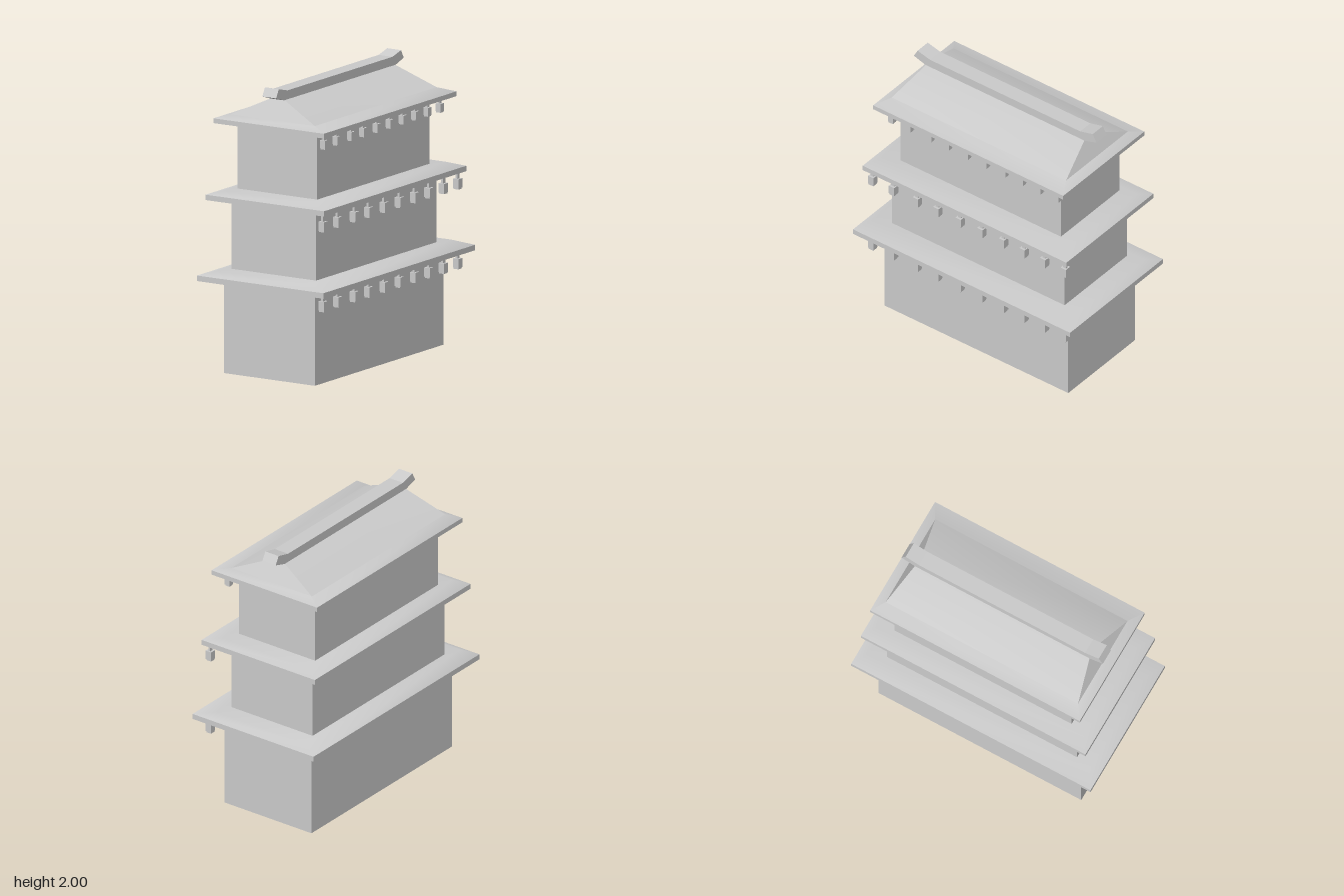
import * as THREE from 'three';
import { toCreasedNormals } from 'three/addons/utils/BufferGeometryUtils.js';

const material = new THREE.MeshStandardMaterial({ color: 0xcccccc });

function addMesh(parent, name, geometry) {
  const mesh = new THREE.Mesh(geometry, material);
  mesh.name = name;
  parent.add(mesh);
  return mesh;
}

// Box given by its limits on each axis
function boxBetween(x0, x1, y0, y1, z0, z1) {
  return new THREE.BoxGeometry(x1 - x0, y1 - y0, z1 - z0)
    .translate((x0 + x1) / 2, (y0 + y1) / 2, (z0 + z1) / 2);
}

// Closed solid through stacked rectangles [x0, x1, y, half depth], listed bottom to top
function rectangleLoft(rings) {
  const positions = [], index = [];
  for (const [x0, x1, y, z] of rings) {
    positions.push(x0, y, z, x1, y, z, x1, y, -z, x0, y, -z);
  }
  for (let r = 0; r < rings.length - 1; r++) {
    for (let i = 0; i < 4; i++) {
      const a = r * 4 + i, b = r * 4 + (i + 1) % 4;
      index.push(a, b, b + 4, a, b + 4, a + 4);
    }
  }
  const t = (rings.length - 1) * 4;
  index.push(0, 2, 1, 0, 3, 2, t, t + 1, t + 2, t, t + 2, t + 3);
  const geometry = new THREE.BufferGeometry();
  geometry.setAttribute('position', new THREE.Float32BufferAttribute(positions, 3));
  geometry.setIndex(index);
  return toCreasedNormals(geometry, 0.52);
}

// Hanging lantern with its top at the local origin
function createLantern() {
  const lantern = new THREE.Group();
  lantern.name = 'lantern';
  addMesh(lantern, 'lanternRod', boxBetween(-0.008, 0.008, -0.046, 0.002, -0.013, 0.013));
  addMesh(lantern, 'lanternBody', boxBetween(-0.023, 0.023, -0.108, -0.045, -0.023, 0.023));
  addMesh(lantern, 'lanternFoot', boxBetween(-0.02, 0.02, -0.117, -0.108, -0.02, 0.02));
  return lantern;
}

const lanternZ = [0.815, 0.638, 0.434, 0.26, 0.07, -0.115, -0.3, -0.475, -0.65, -0.825];

function addLanterns(parent, x, y, scale) {
  const row = new THREE.Group();
  row.name = 'lanternRow';
  for (const z of lanternZ) {
    const lantern = createLantern();
    lantern.position.set(x, y, z * scale);
    lantern.scale.setScalar(scale);
    row.add(lantern);
  }
  parent.add(row);
}

export function createModel() {
  const model = new THREE.Group();
  model.name = 'pagoda';

  // Storeys, each with its wall block, roof rings and row of lanterns
  const storeys = [
    {
      name: 'lower', wall: [-0.387, 0.347, 0, 0.66, -0.783, 0.783],
      roof: [[-0.512, 0.51, 0.645, 0.925], [-0.512, 0.51, 0.683, 0.925], [-0.4, 0.365, 0.714, 0.855]],
      lanterns: [0.435, 0.645, 1],
    },
    {
      name: 'middle', wall: [-0.36, 0.325, 0.7, 1.21, -0.735, 0.735],
      roof: [[-0.48, 0.477, 1.197, 0.868], [-0.48, 0.477, 1.234, 0.868], [-0.38, 0.35, 1.26, 0.8]],
      lanterns: [0.435, 1.195, 1],
    },
    {
      name: 'upper', wall: [-0.343, 0.3, 1.25, 1.73, -0.684, 0.684],
      roof: [[-0.455, 0.437, 1.72, 0.81], [-0.455, 0.437, 1.753, 0.81],
        [-0.36, 0.32, 1.78, 0.743], [-0.08, 0.03, 1.912, 0.675]],
      lanterns: [0.367, 1.72, 0.86],
    },
  ];
  for (const { name, wall, roof, lanterns } of storeys) {
    const storey = new THREE.Group();
    storey.name = name + 'Storey';
    addMesh(storey, name + 'Walls', boxBetween(...wall));
    addMesh(storey, name + 'Roof', rectangleLoft(roof));
    addLanterns(storey, ...lanterns);
    model.add(storey);
  }

  // Ridge beam with upturned ends: side outline drawn in z and y, extruded across x
  const half = [[0.675, 1.91], [0.778, 1.942], [0.746, 2.0], [0.64, 1.973]];
  const outline = [...half, ...half.map(([z, y]) => [-z, y]).reverse()];
  const shape = new THREE.Shape(outline.map(([z, y]) => new THREE.Vector2(z, y)));
  const ridge = new THREE.ExtrudeGeometry(shape, { depth: 0.112, bevelEnabled: false });
  ridge.rotateY(-Math.PI / 2).translate(0.031, 0, 0);
  addMesh(model, 'ridgeBeam', ridge);

  return model;
}
